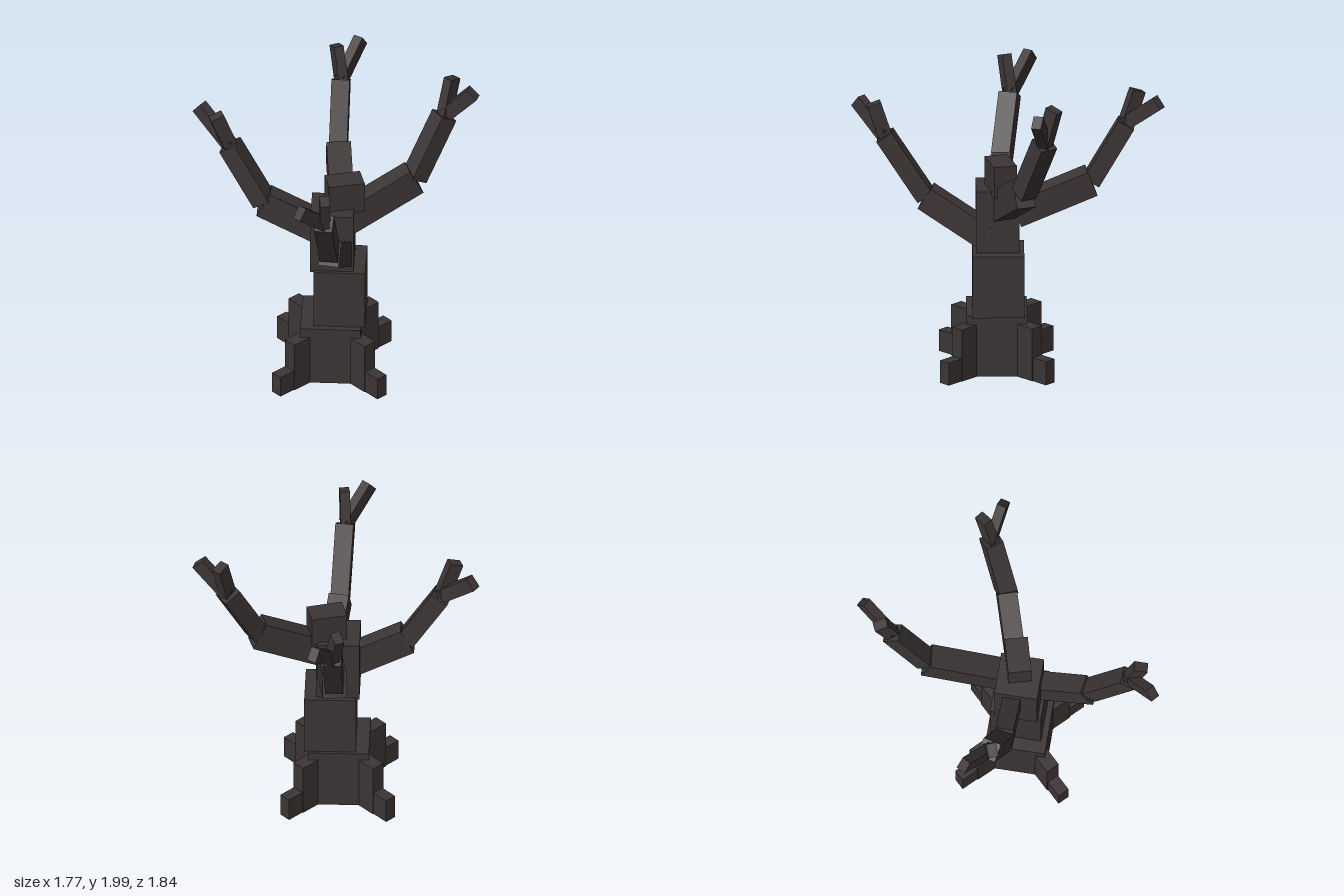
import * as THREE from 'three';

const bark = new THREE.MeshStandardMaterial({ color: 0x3c3535, flatShading: true });
bark.name = 'darkBark';

function box(name, w, h, d, x, y, z, turn = 0) {
  const mesh = new THREE.Mesh(new THREE.BoxGeometry(w, h, d), bark);
  mesh.name = name;
  mesh.position.set(x, y, z);
  mesh.rotation.y = THREE.MathUtils.degToRad(turn);
  return mesh;
}

// Rectangular beam between two points; w is its horizontal width, h its depth
function beam(name, from, to, w, h) {
  const a = new THREE.Vector3(...from);
  const b = new THREE.Vector3(...to);
  const mid = a.clone().add(b).multiplyScalar(0.5);
  const mesh = box(name, w, h, a.distanceTo(b), mid.x, mid.y, mid.z);
  mesh.lookAt(b);
  return mesh;
}

// Limb, bough and two twigs
function branch({ name, base, elbow, tip, limb, bough, twigs }) {
  const group = new THREE.Group();
  group.name = name;
  group.add(beam('limb', base, elbow, ...limb));
  group.add(beam('bough', elbow, tip, bough, bough));
  for (const end of twigs) group.add(beam('twig', tip, end, 0.063, 0.09));
  return group;
}

const branches = [
  { name: 'leftBranch', base: [0, 1.1, 0.07], elbow: [0.465, 1.34, 0.045], tip: [0.675, 1.735, -0.03],
    limb: [0.125, 0.19], bough: 0.12, twigs: [[0.735, 1.98, -0.075], [0.84, 1.94, 0.065]] },
  { name: 'frontBranch', base: [-0.015, 0.9, 0.15], elbow: [-0.18, 1.15, 0.51], tip: [-0.27, 1.55, 0.755],
    limb: [0.13, 0.16], bough: 0.115, twigs: [[-0.455, 1.735, 0.88], [-0.28, 1.765, 0.825]] },
  { name: 'rightBranch', base: [-0.1, 1.01, 0.035], elbow: [-0.483, 1.22, -0.07], tip: [-0.68, 1.6, -0.18],
    limb: [0.115, 0.185], bough: 0.12, twigs: [[-0.84, 1.8, -0.36], [-0.77, 1.835, -0.17]] },
  { name: 'backBranch', base: [0.015, 1.06, -0.02], elbow: [0.09, 1.25, -0.5], tip: [0.153, 1.635, -0.712],
    limb: [0.155, 0.17], bough: 0.115, twigs: [[0.315, 1.81, -0.88], [0.14, 1.845, -0.79]] },
];

export function createModel() {
  const tree = new THREE.Group();
  tree.name = 'tree';

  // Stacked trunk blocks
  tree.add(box('trunkBase', 0.384, 0.405, 0.384, -0.075, 0.2025, 0.075, -15));
  tree.add(box('trunkMiddle', 0.327, 0.41, 0.327, -0.02, 0.605, 0.08, -15));
  tree.add(box('trunkTop', 0.274, 0.42, 0.274, -0.068, 1.01, 0.072, -15));
  tree.add(box('crown', 0.23, 0.21, 0.148, 0.008, 1.3, 0.072));

  // Four stepped roots around the base
  const rootHeights = [[0.35, 0.157], [0.358, 0.165], [0.34, 0.142], [0.345, 0.15]];
  rootHeights.forEach(([inner, outer], i) => {
    const root = new THREE.Group();
    root.name = 'root';
    root.position.set(-0.075, 0, 0.075);
    root.rotation.y = THREE.MathUtils.degToRad(30 + 90 * i);
    root.add(box('rootShoulder', 0.26, inner, 0.09, 0.228, inner / 2, 0));
    root.add(box('rootToe', 0.3, outer, 0.078, 0.323, outer / 2, 0));
    tree.add(root);
  });

  for (const spec of branches) tree.add(branch(spec));
  return tree;
}
